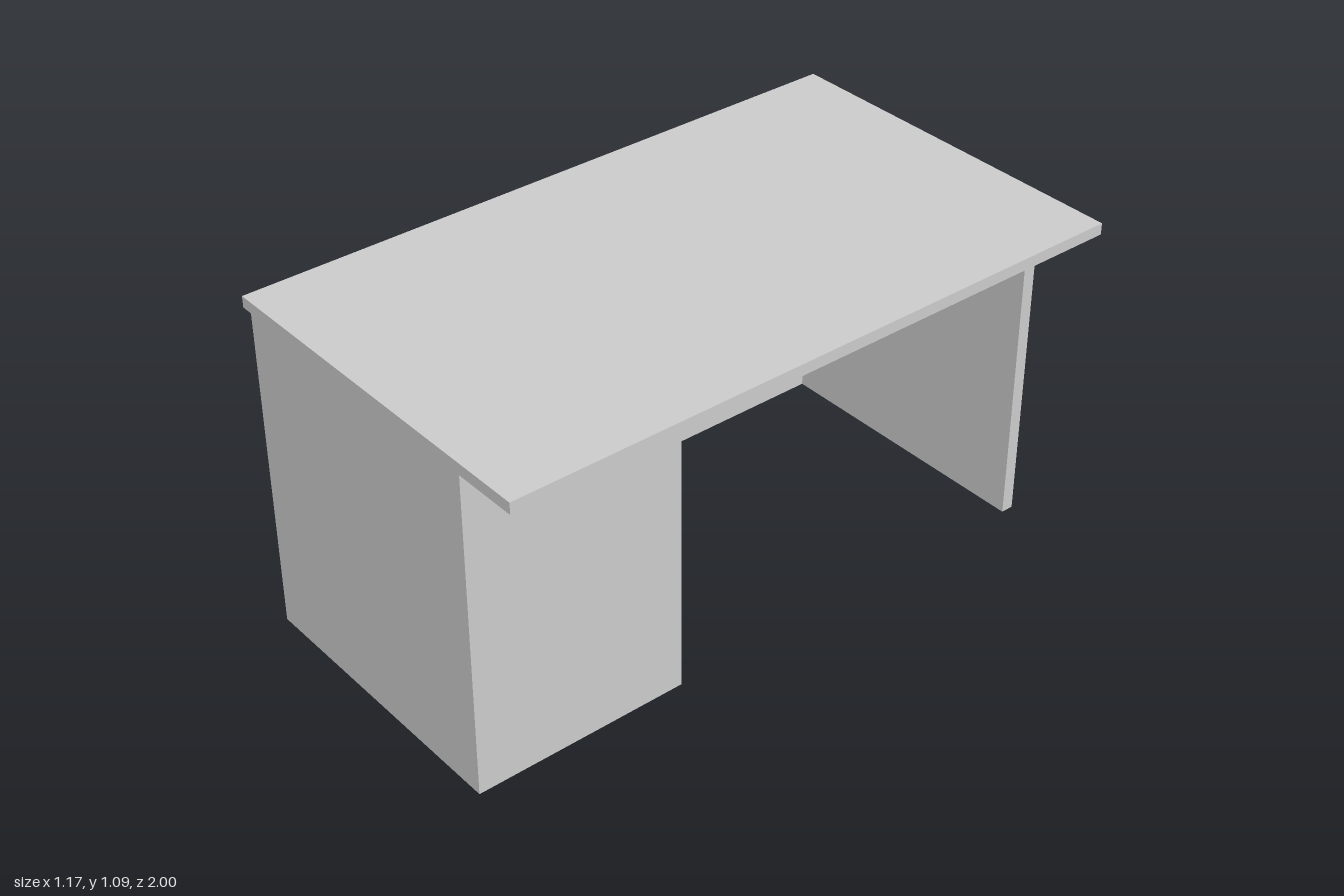
import * as THREE from 'three';

const material = new THREE.MeshStandardMaterial({ color: 0xcccccc });

// Box given by its [min, max] extent along each axis
function board(name, [x0, x1], [y0, y1], [z0, z1]) {
  const mesh = new THREE.Mesh(new THREE.BoxGeometry(x1 - x0, y1 - y0, z1 - z0), material);
  mesh.position.set((x0 + x1) / 2, (y0 + y1) / 2, (z0 + z1) / 2);
  mesh.name = name;
  return mesh;
}

export function createModel() {
  const desk = new THREE.Group();
  desk.name = 'desk';

  const height = [0, 1.055]; // floor to underside of the top
  const back = -0.585;       // outer face of the long panel
  const inner = -0.545;      // its inner face

  desk.add(
    // Thin top overhanging the seat side
    board('desktop', [back, 0.585], [1.055, 1.09], [-1, 1]),
    // Long panel closing one side
    board('modestyPanel', [back, inner], height, [-1, 0.98]),
    // Closed cabinet under one end
    board('pedestal', [inner, 0.352], height, [0.295, 0.98]),
    // Upright panel carrying the other end
    board('endPanel', [inner, 0.36], height, [-1, -0.96]),
  );
  return desk;
}
